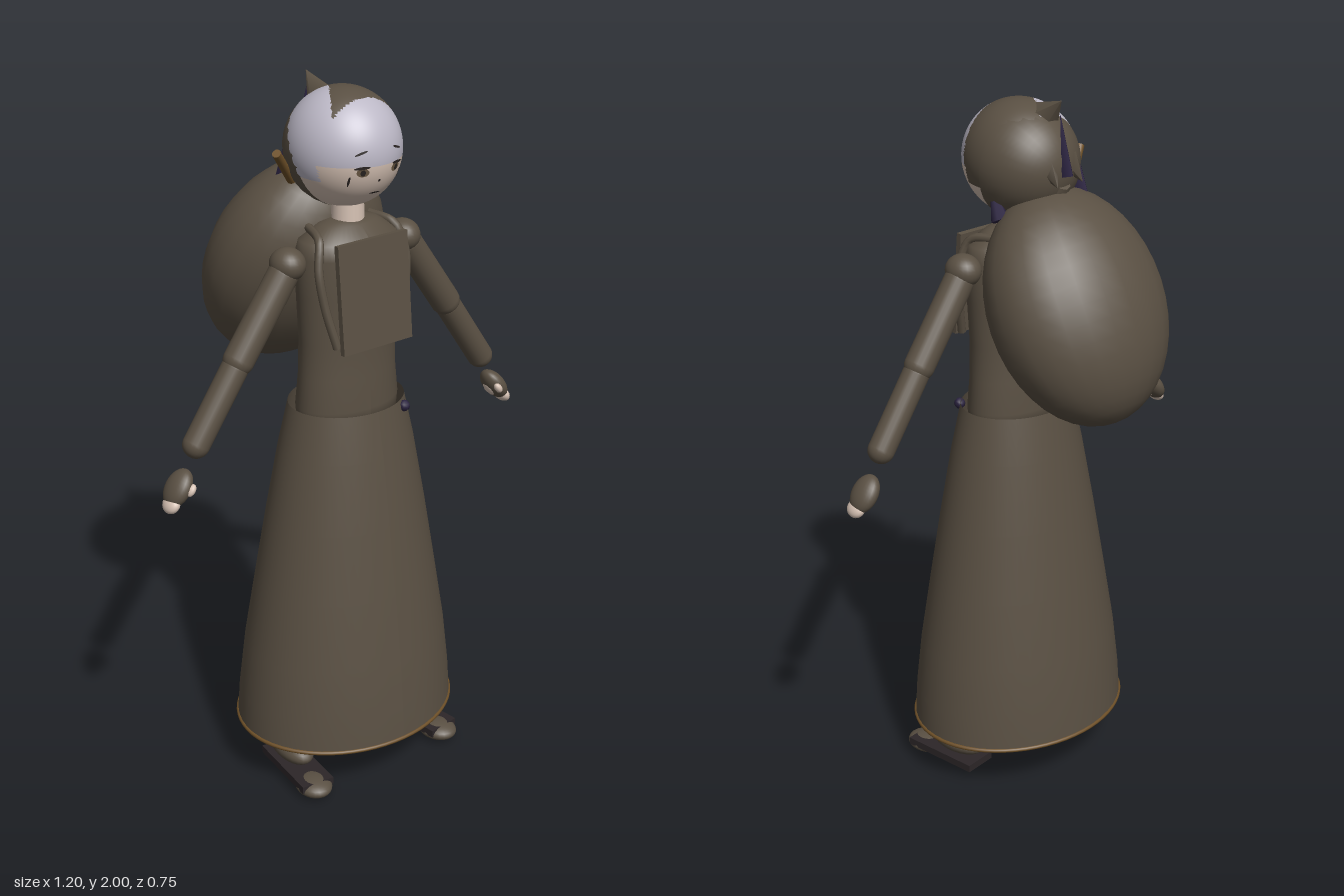
import * as THREE from 'three';

const mat = (name, color, double) => {
  const m = new THREE.MeshStandardMaterial({ color });
  m.name = name;
  if (double) m.side = THREE.DoubleSide;
  return m;
};
const V = (x, y, z) => new THREE.Vector3(x, y, z);
const UP = V(0, 1, 0);

export function createModel() {
  const cloth = mat('brownCloth', 0x5a5043, true);
  const skin = mat('skin', 0xd6c2b4);
  const pale = mat('paleHair', 0xbcb8c6);
  const purple = mat('darkPurple', 0x2b2340);
  const sole = mat('darkSole', 0x2c2628);
  const trim = mat('goldTrim', 0x6e5028);
  const ink = mat('ink', 0x2a2422);
  const iris = mat('iris', 0x6b5a44);

  const root = new THREE.Group();
  root.name = 'figure';

  const add = (name, geo, m, pos = V(0, 0, 0), parent = root) => {
    const mesh = new THREE.Mesh(geo, m);
    mesh.name = name;
    mesh.position.copy(pos);
    parent.add(mesh);
    return mesh;
  };
  // Ellipsoid with radii rx, ry, rz
  const blob = (name, m, pos, rx, ry, rz, parent = root, w = 24, h = 16) => {
    const s = add(name, new THREE.SphereGeometry(1, w, h), m, pos, parent);
    s.scale.set(rx, ry, rz);
    return s;
  };
  // Shape standing along the line from a to b
  const between = (name, geoFn, m, a, b, parent = root) => {
    const d = b.clone().sub(a);
    const mesh = add(name, geoFn(d.length()), m, a.clone().add(b).multiplyScalar(0.5), parent);
    mesh.quaternion.setFromUnitVectors(UP, d.normalize());
    return mesh;
  };
  const capsule = (name, m, a, b, r) =>
    between(name, (l) => new THREE.CapsuleGeometry(r, Math.max(l - 2 * r, 0.001), 8, 20), m, a, b);
  const rod = (name, m, a, b, r0, r1, sides = 20, parent = root) =>
    between(name, (l) => new THREE.CylinderGeometry(r1, r0, l, sides), m, a, b, parent);
  // Turned body squashed in depth
  const lathe = (name, points, depth, z) => {
    const g = new THREE.LatheGeometry(points.map(([r, y]) => new THREE.Vector2(r, y)), 48);
    g.scale(1, 1, depth);
    g.computeVertexNormals();
    return add(name, g, cloth, V(0, 0, z));
  };

  // Long open skirt with a hem
  lathe('skirt', [[0.332, 0.15], [0.325, 0.25], [0.307, 0.4], [0.273, 0.6], [0.238, 0.8],
    [0.2, 1.0], [0.17, 1.13]], 0.83, 0.097);
  const hem = add('skirtHem', new THREE.TorusGeometry(0.331, 0.006, 8, 64), trim, V(0, 0.155, 0.097));
  hem.rotation.x = Math.PI / 2;
  hem.scale.y = 0.83;
  blob('skirtButton', purple, V(0.11, 1.11, 0.215), 0.016, 0.016, 0.016, root, 8, 6);

  // Torso and neck
  lathe('torso', [[0, 1.05], [0.15, 1.06], [0.157, 1.13], [0.148, 1.22], [0.146, 1.32], [0.153, 1.45],
    [0.157, 1.56], [0.145, 1.6], [0.085, 1.637], [0.05, 1.645], [0, 1.646]], 0.68, 0.1);
  rod('neck', skin, V(0, 1.62, 0.1), V(0, 1.72, 0.1), 0.045, 0.042);

  // Chest panel and straps
  const panel = add('chestPanel', new THREE.BoxGeometry(0.23, 0.295, 0.016), cloth, V(0, 1.465, 0.214));
  panel.rotation.x = -0.1;
  for (const s of [-1, 1]) {
    const path = new THREE.CatmullRomCurve3([V(s * 0.1, 1.625, 0.06), V(s * 0.125, 1.612, 0.14),
      V(s * 0.145, 1.54, 0.165), V(s * 0.135, 1.44, 0.18), V(s * 0.11, 1.33, 0.2)]);
    add('shoulderStrap', new THREE.TubeGeometry(path, 24, 0.012, 8), cloth);
  }

  // Round sack leaning on the back, with a tied top
  const sack = blob('backSack', cloth, V(0, 1.465, -0.14), 0.265, 0.327, 0.198, root, 24, 20);
  sack.rotation.x = 0.47;
  rod('sackKnot', cloth, V(0, 1.72, -0.02), V(0, 1.79, -0.08), 0.06, 0.025, 8);

  for (const s of [-1, 1]) {
    // Arms
    const z = 0.095;
    blob('shoulder', cloth, V(s * 0.193, 1.552, z), 0.047, 0.045, 0.052);
    capsule('upperArm', cloth, V(s * 0.185, 1.56, z), V(s * 0.377, 1.29, z), 0.042);
    capsule('forearm', cloth, V(s * 0.345, 1.335, z), V(s * 0.513, 1.092, z), 0.037);

    // Gloved hand with bare fingertips
    const hand = new THREE.Group();
    hand.name = 'hand';
    hand.position.set(s * 0.553, 1.015, z);
    hand.rotation.z = s * 0.62;
    root.add(hand);
    blob('glove', cloth, V(0, 0, 0), 0.028, 0.055, 0.043, hand);
    blob('fingers', skin, V(0, -0.045, 0.006), 0.018, 0.026, 0.03, hand);
    blob('thumb', skin, V(s * -0.012, 0.012, 0.038), 0.011, 0.018, 0.012, hand, 12, 8);
    blob('palm', skin, V(s * -0.017, 0, 0), 0.014, 0.03, 0.024, hand, 12, 8);

    // Legs
    capsule('thigh', cloth, V(s * 0.09, 1.08, z), V(s * 0.16, 0.56, z), 0.065);
    rod('shin', cloth, V(s * 0.215, 0.1, z), V(s * 0.158, 0.6, z), 0.046, 0.056);
    rod('ankleCuff', cloth, V(s * 0.217, 0.11, z), V(s * 0.205, 0.22, z), 0.055, 0.06);

    // Sandalled foot turned slightly outward
    const foot = new THREE.Group();
    foot.name = 'foot';
    foot.position.set(s * 0.214, 0, 0.095);
    foot.rotation.y = s * 0.12;
    root.add(foot);
    blob('instep', cloth, V(0, 0.087, 0.032), 0.05, 0.037, 0.095, foot);
    add('sandalSole', new THREE.BoxGeometry(0.1, 0.022, 0.24), sole, V(0, 0.038, 0.065), foot);
    blob('toe', cloth, V(0, 0.027, 0.158), 0.051, 0.026, 0.062, foot);
  }

  // Head sphere split into skin, pale hair and brown hair by direction
  const C = V(0.004, 1.83, 0.075), R = V(0.149, 0.157, 0.163);
  const headGeo = new THREE.SphereGeometry(1, 96, 64);
  headGeo.scale(R.x, R.y, R.z);
  const p = headGeo.attributes.position, idx = headGeo.index.array;
  const lists = [[], [], []];
  for (let i = 0; i < idx.length; i += 3) {
    const t = [idx[i], idx[i + 1], idx[i + 2]];
    const mean = (k) => (p.array[t[0] * 3 + k] + p.array[t[1] * 3 + k] + p.array[t[2] * 3 + k]) / 3;
    const x = mean(0) + C.x, y = mean(1) + C.y, z = mean(2) + C.z;
    const face = y < 1.815 && z > (y > 1.77 ? 0.14 : 0.07);
    const light = z > 0.15 || (z > -0.02 && x < -0.09 + (0.15 - z) * 0.65);
    lists[face ? 0 : light ? 1 : 2].push(...t);
  }
  headGeo.setIndex(lists.flat());
  let start = 0;
  lists.forEach((l, k) => { headGeo.addGroup(start, l.length, k); start += l.length; });
  add('head', headGeo, [skin, pale, cloth], C);
  // Raised brown hair at the back
  const back = add('backHair', new THREE.SphereGeometry(1, 32, 16, 0, Math.PI * 2, 0, Math.PI / 2), cloth, V(0.007, 1.825, 0.065));
  back.scale.set(0.153, 0.166, 0.156);
  back.rotation.x = -Math.PI / 2 - 0.15;
  back.scale.set(0.151, 0.162, 0.156);

  // Thin face details laid on the head surface
  const mark = (name, m, x, y, w, h, tilt = 0, lift = 0.002) => {
    const dx = (x - C.x) / R.x, dy = (y - C.y) / R.y;
    const dz = Math.sqrt(1 - dx * dx - dy * dy);
    const n = V(dx / R.x, dy / R.y, dz / R.z).normalize();
    const d = add(name, new THREE.CircleGeometry(1, 16), m, V(x, y, C.z + dz * R.z).addScaledVector(n, lift));
    d.quaternion.setFromUnitVectors(V(0, 0, 1), n);
    d.rotateZ(tilt);
    d.scale.set(w, h, 1);
  };
  for (const s of [-1, 1]) {
    mark('eye', iris, s * 0.05, 1.802, 0.017, 0.012);
    mark('pupil', ink, s * 0.05, 1.802, 0.007, 0.009, 0, 0.004);
    mark('eyelash', ink, s * 0.053, 1.815, 0.022, 0.004, s * -0.1, 0.004);
    mark('eyebrow', ink, s * 0.055, 1.852, 0.018, 0.003, s * -0.3);
    mark('cheekMark', ink, s * 0.077, 1.778, 0.003, 0.016, s * 0.1);
  }
  mark('nose', ink, 0, 1.775, 0.004, 0.004);
  mark('mouth', ink, 0, 1.738, 0.017, 0.003);

  // Pointed tuft, ribbon spikes and hair tie
  const tuft = rod('topTuft', cloth, V(-0.01, 1.945, 0.0), V(-0.008, 2.0, -0.068), 0.045, 0.001, 5);
  tuft.material = cloth;
  rod('backRibbon', purple, V(0, 1.81, -0.1), V(0, 1.965, -0.073), 0.02, 0.001, 4);
  rod('sideRibbon', purple, V(-0.09, 1.74, -0.06), V(-0.1, 1.87, -0.025), 0.025, 0.001, 4);
  rod('hairTie', purple, V(0.125, 1.69, 0.02), V(0.115, 1.765, 0.06), 0.026, 0.008, 6);
  for (const s of [-1, 1])
    rod('hairLock', cloth, V(s * 0.04, 1.84, -0.06), V(s * 0.045, 1.79, -0.11), 0.035, 0.001, 5);

  // Hair stick poking out to the side
  rod('hairStick', trim, V(-0.09, 1.72, -0.015), V(-0.183, 1.832, 0.038), 0.012, 0.012, 10);

  return root;
}
